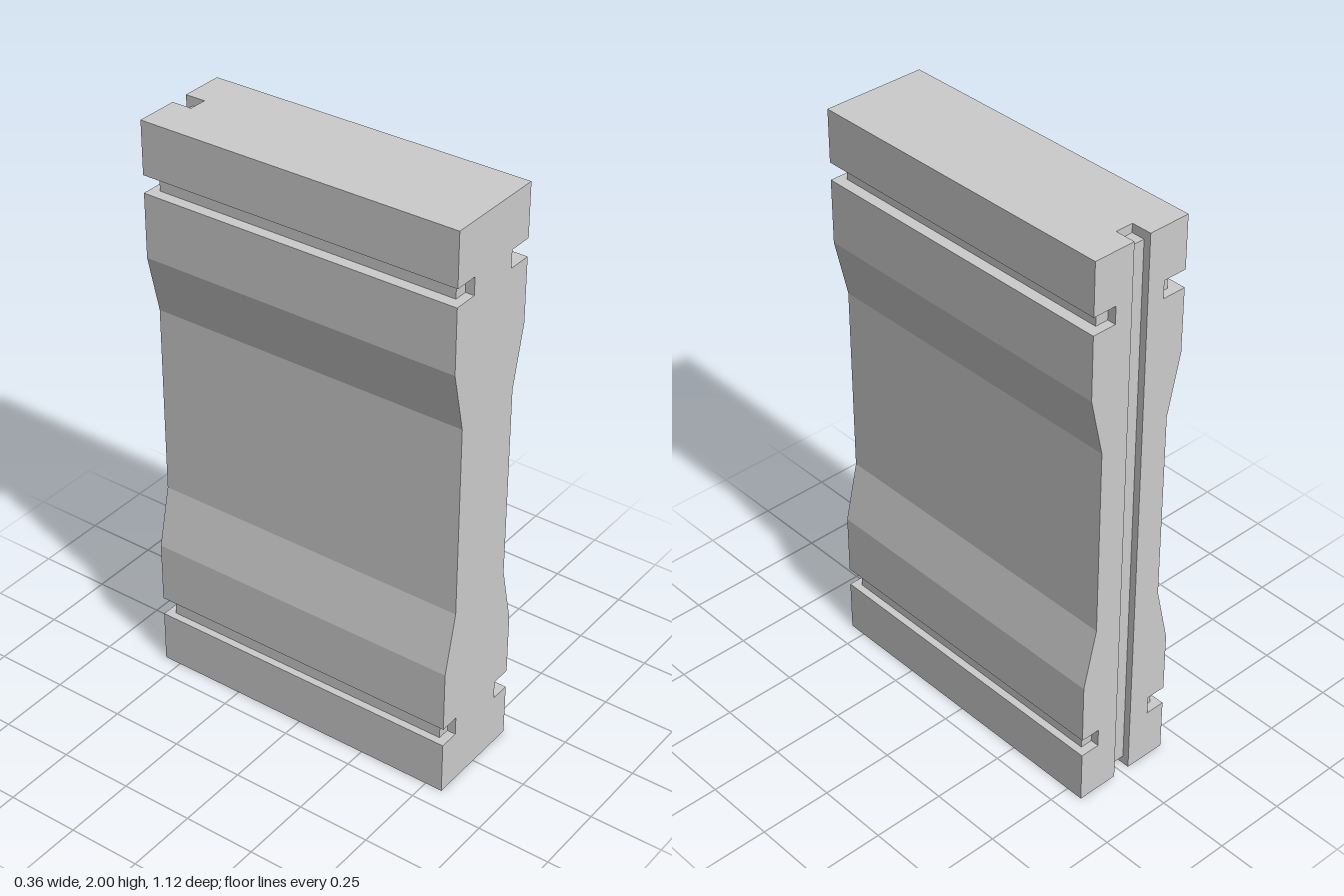
import * as THREE from 'three';

const HALF_WIDTH = 0.178, WAIST = 0.131;
const SLOT = 0.031;          // half width of the back slot
const POCKET = 0.03;         // height of the slot's end pockets

// Groove floors (x) along the middle, and deeper at the two ends
const SHALLOW = { low: 0.152, high: 0.14 };
const DEEP = { low: 0.109, high: 0.094 };

// Outer edge of the +x half, bottom to top
function sideEdge(floor) {
  const w = HALF_WIDTH;
  return [
    [w, 0], [w, 0.185], [floor.low, 0.185], [floor.low, 0.25], [w, 0.25],
    [w, 0.465], [WAIST, 0.67], [WAIST, 1.335], [w, 1.54],
    [w, 1.76], [floor.high, 1.76], [floor.high, 1.82], [w, 1.82], [w, 2],
  ];
}

const mirror = (points) => points.map(([x, y]) => [-x, y]).reverse();
const toShape = (points) => new THREE.Shape(points.map(([x, y]) => new THREE.Vector2(x, y)));

// Whole section, optionally notched at top and bottom
function fullSection(floor, pocket = 0) {
  const half = sideEdge(floor);
  if (pocket) {
    half.unshift([SLOT, pocket], [SLOT, 0]);
    half.push([SLOT, 2], [SLOT, 2 - pocket]);
  }
  return toShape([...half, ...mirror(half)]);
}

// Section divided in two by the back slot
function splitSection(floor) {
  const half = [[SLOT, 0], ...sideEdge(floor), [SLOT, 2]];
  return [toShape(half), toShape(mirror(half))];
}

export function createModel() {
  const group = new THREE.Group();
  group.name = 'groovedPanel';
  const material = new THREE.MeshStandardMaterial({ color: 0xcccccc, flatShading: true });

  // Slices from back to front
  const slices = [
    ['slottedBack', -0.56, -0.536, splitSection(DEEP)],
    ['pocketedBackEnd', -0.536, -0.53, fullSection(DEEP, POCKET)],
    ['pocketedBackBody', -0.53, -0.49, fullSection(SHALLOW, POCKET)],
    ['mainBody', -0.49, 0.53, fullSection(SHALLOW)],
    ['frontEnd', 0.53, 0.56, fullSection(DEEP)],
  ];
  for (const [name, z0, z1, shapes] of slices) {
    const geometry = new THREE.ExtrudeGeometry(shapes, { depth: z1 - z0, bevelEnabled: false });
    geometry.translate(0, 0, z0);
    const mesh = new THREE.Mesh(geometry, material);
    mesh.name = name;
    group.add(mesh);
  }
  return group;
}
